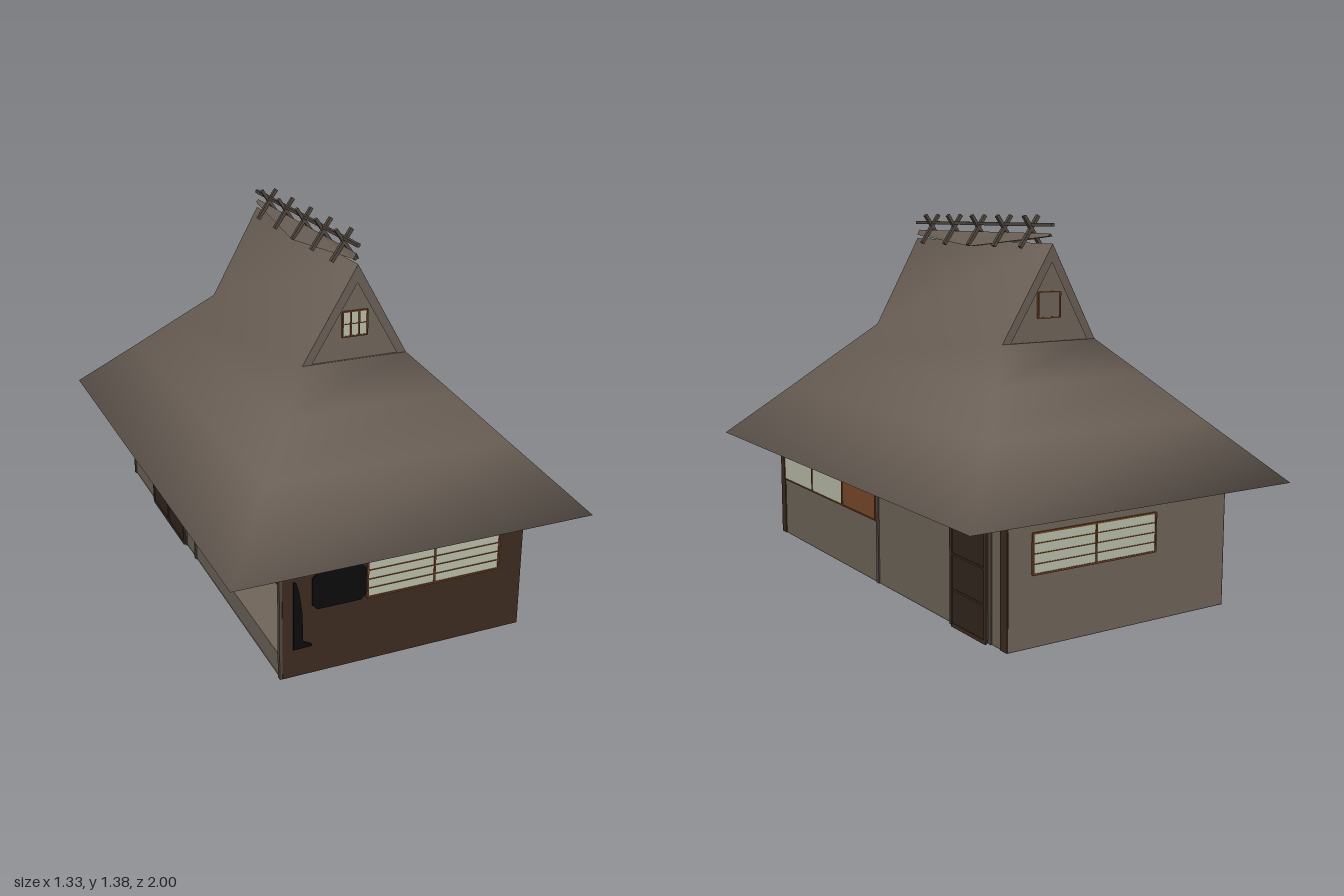
import * as THREE from 'three';

const mat = (name, color) => {
  const m = new THREE.MeshStandardMaterial({ color });
  m.name = name;
  return m;
};

export function createModel() {
  const house = new THREE.Group();
  house.name = 'farmhouse';
  const thatch = mat('thatch', 0x6b6057);
  thatch.side = THREE.DoubleSide;
  const plaster = mat('plaster', 0x6f655a);
  const darkWood = mat('dark wood', 0x3c2b20);
  const doorWood = mat('door wood', 0x33261f);
  const frameWood = mat('frame wood', 0x70401f);
  const panelWood = mat('panel wood', 0x7a4a2a);
  const paper = mat('paper', 0xb9bda9);
  const black = mat('black', 0x0b0b0b);
  const pole = mat('pole wood', 0x51473f);
  const base = mat('base', 0x5a524b);

  const add = (parent, name, geo, m) => {
    const mesh = new THREE.Mesh(geo, m);
    mesh.name = name;
    parent.add(mesh);
    return mesh;
  };
  // box given by its min and max corners
  const box = (parent, name, m, x0, x1, y0, y1, z0, z1) => {
    const b = add(parent, name, new THREE.BoxGeometry(x1 - x0, y1 - y0, z1 - z0), m);
    b.position.set((x0 + x1) / 2, (y0 + y1) / 2, (z0 + z1) / 2);
    return b;
  };
  const group = (name, x, y, z, ry) => {
    const g = new THREE.Group();
    g.name = name;
    g.position.set(x, y, z);
    g.rotation.y = ry;
    house.add(g);
    return g;
  };
  // framed panel facing local +z, with mullions and thin lattice bars
  const panel = (name, x, y, z, ry, w, h, pane, frame, cols, rows, t = 0.006) => {
    const g = group(name, x, y, z, ry);
    box(g, 'pane', pane, -w / 2, w / 2, -h / 2, h / 2, -0.002, 0.003);
    for (let i = 0; i <= cols; i++) {
      const c = -w / 2 + (w * i) / cols;
      box(g, 'upright', frame, c - t / 2, c + t / 2, -h / 2, h / 2, 0, 0.007);
    }
    for (let i = 0; i <= rows; i++) {
      const c = -h / 2 + (h * i) / rows;
      const k = i === 0 || i === rows ? t / 2 : t / 4;
      box(g, 'rail', frame, -w / 2, w / 2, c - k, c + k, 0, 0.006);
    }
    return g;
  };

  // house body, with an open veranda on the front part of the right side
  box(house, 'baseSlab', base, -0.455, 0.455, 0, 0.012, -0.888, 0.888);
  box(house, 'mainWalls', plaster, -0.285, 0.455, 0.004, 0.405, -0.89, 0.872);
  box(house, 'rearRoomWalls', plaster, -0.455, -0.285, 0.004, 0.405, -0.89, 0);
  box(house, 'verandaFloor', plaster, -0.455, -0.285, 0.004, 0.085, 0, 0.872);
  box(house, 'verandaBeam', darkWood, -0.455, -0.435, 0.38, 0.405, 0, 0.872);
  box(house, 'frontWall', darkWood, -0.45, 0.455, 0, 0.405, 0.872, 0.89);
  panel('verandaScreens', -0.288, 0.235, 0.435, -Math.PI / 2, 0.86, 0.29, doorWood, frameWood, 4, 1);

  // corner and wall posts
  for (const z of [-0.868, 0.868]) {
    box(house, 'cornerPost', darkWood, 0.435, 0.459, 0, 0.407, z - 0.02, z + 0.02);
  }
  for (const z of [-0.01, -0.547, -0.787]) {
    box(house, 'wallPost', pole, 0.44, 0.46, 0, 0.405, z - 0.009, z + 0.009);
  }
  for (const z of [-0.88, -0.57, -0.13, -0.008, 0.88]) {
    box(house, 'wallPost', pole, -0.46, -0.44, 0, 0.405, z - 0.009, z + 0.009);
  }

  // front and back lattice windows
  panel('frontWindow', 0.108, 0.3125, 0.891, 0, 0.505, 0.135, paper, frameWood, 2, 4);
  panel('backWindow', 0.112, 0.3125, -0.891, Math.PI, 0.505, 0.135, paper, frameWood, 2, 4);

  // left side sliding windows and the wooden shutter beside them
  [[0.707, paper], [0.426, paper], [0.144, panelWood]].forEach(([z, m]) =>
    panel('sideWindow', 0.456, 0.31, z, Math.PI / 2, 0.281, 0.14, m, frameWood, 1, 1, 0.005));

  // doors
  panel('leftDoor', 0.463, 0.189, -0.668, Math.PI / 2, 0.215, 0.372, doorWood, darkWood, 1, 3, 0.014);
  for (const z of [-0.455, -0.245]) {
    panel('rightDoor', -0.459, 0.189, z, -Math.PI / 2, 0.208, 0.372, doorWood, darkWood, 1, 3, 0.014);
  }

  // black opening and hanging tool on the front wall
  const opening = new THREE.Shape();
  const [l, r, b, t, c] = [-0.345, -0.15, 0.242, 0.377, 0.018];
  [[l + c, b], [r - c, b], [r, b + c], [r, t - c], [r - c, t], [l + c, t], [l, t - c], [l, b + c]]
    .forEach(([x, y], i) => (i ? opening.lineTo(x, y) : opening.moveTo(x, y)));
  const tool = new THREE.Shape([
    [-0.412, 0.105], [-0.345, 0.107], [-0.348, 0.115], [-0.378, 0.13], [-0.381, 0.24],
    [-0.392, 0.32], [-0.402, 0.355], [-0.412, 0.36],
  ].map(([x, y]) => new THREE.Vector2(x, y)));
  const plate = { depth: 0.006, bevelEnabled: false };
  add(house, 'frontOpening', new THREE.ExtrudeGeometry(opening, plate), black).position.z = 0.889;
  add(house, 'hangingTool', new THREE.ExtrudeGeometry(tool, plate), black).position.z = 0.889;

  // hipped thatch: rectangular rings from under the eaves up to the gable foot
  const rings = [[0.46, 0.44, 0.8], [0.665, 0.44, 1], [0.456, 0.66, 0.757], [0.32, 0.805, 0.6], [0.2, 0.93, 0.465]];
  const pos = [];
  const idx = [];
  for (const [x, y, z] of rings) pos.push(-x, y, z, x, y, z, x, y, -z, -x, y, -z);
  for (let i = 0; i < rings.length - 1; i++) {
    for (let j = 0; j < 4; j++) {
      const a = i * 4 + j, d = i * 4 + ((j + 1) % 4);
      idx.push(a, d, d + 4, a, d + 4, a + 4);
    }
  }
  // steep upper slopes rising to the ridge
  const top = (rings.length - 1) * 4;
  const ridge = top + 4;
  pos.push(0, 1.275, 0.48, 0, 1.275, -0.48);
  idx.push(top + 1, top + 2, ridge + 1, top + 1, ridge + 1, ridge);
  idx.push(top + 3, top, ridge, top + 3, ridge, ridge + 1);
  const roof = new THREE.BufferGeometry();
  roof.setAttribute('position', new THREE.Float32BufferAttribute(pos, 3));
  roof.setIndex(idx);
  roof.computeVertexNormals();
  add(house, 'thatchRoof', roof, thatch);
  box(house, 'ceiling', thatch, -0.47, 0.47, 0.44, 0.445, -0.81, 0.81);
  box(house, 'gableLedge', thatch, -0.197, 0.197, 0.924, 0.93, -0.463, 0.463);

  // gables: leaning rake border, recessed wall and small window
  const tri = (w, h) => [new THREE.Vector2(-w, 0), new THREE.Vector2(w, 0), new THREE.Vector2(0, h)];
  const rake = new THREE.Shape(tri(0.2, 0.345));
  rake.holes.push(new THREE.Path(tri(0.165, 0.28).reverse()));
  for (const s of [1, -1]) {
    const g = group(s > 0 ? 'frontGable' : 'backGable', 0, 0.93, s * 0.465, s > 0 ? 0 : Math.PI);
    add(g, 'rakeBorder', new THREE.ShapeGeometry(rake), thatch).rotation.x = 0.043;
    add(g, 'gableWall', new THREE.ShapeGeometry(new THREE.Shape(tri(0.19, 0.33))), plaster).position.z = -0.008;
    panel('gableWindow', 0, 1.06, s * 0.458, s > 0 ? 0 : Math.PI, 0.094, 0.09,
      s > 0 ? paper : plaster, frameWood, s > 0 ? 3 : 1, s > 0 ? 2 : 1, 0.005);
  }

  // ridge cap, widest and lowest at the middle
  const capPos = [];
  const capIdx = [];
  for (const [z, w, y] of [[0.465, 0.01, 1.29], [0, 0.046, 1.255], [-0.465, 0.01, 1.3]]) {
    capPos.push(-w, y, z, 0, 1.31, z, w, y, z);
  }
  for (const a of [0, 3]) {
    capIdx.push(a, a + 1, a + 4, a, a + 4, a + 3, a + 1, a + 2, a + 5, a + 1, a + 5, a + 4);
    capIdx.push(a + 2, a, a + 3, a + 2, a + 3, a + 5);
  }
  const cap = new THREE.BufferGeometry();
  cap.setAttribute('position', new THREE.Float32BufferAttribute(capPos, 3));
  cap.setIndex(capIdx);
  const capFlat = cap.toNonIndexed();
  capFlat.computeVertexNormals();
  add(house, 'ridgeCap', capFlat, thatch);

  // ridge pole resting in crossed billets
  box(house, 'ridgePole', pole, -0.006, 0.006, 1.334, 1.346, -0.48, 0.48);
  for (const z of [-0.345, -0.17, 0.008, 0.185, 0.36]) {
    for (const s of [1, -1]) {
      const billet = add(house, 'crossedBillet', new THREE.BoxGeometry(0.012, 0.136, 0.016), pole);
      billet.position.set(s * -0.008, 1.315, z);
      billet.rotation.z = s * -0.6;
    }
  }
  return house;
}
